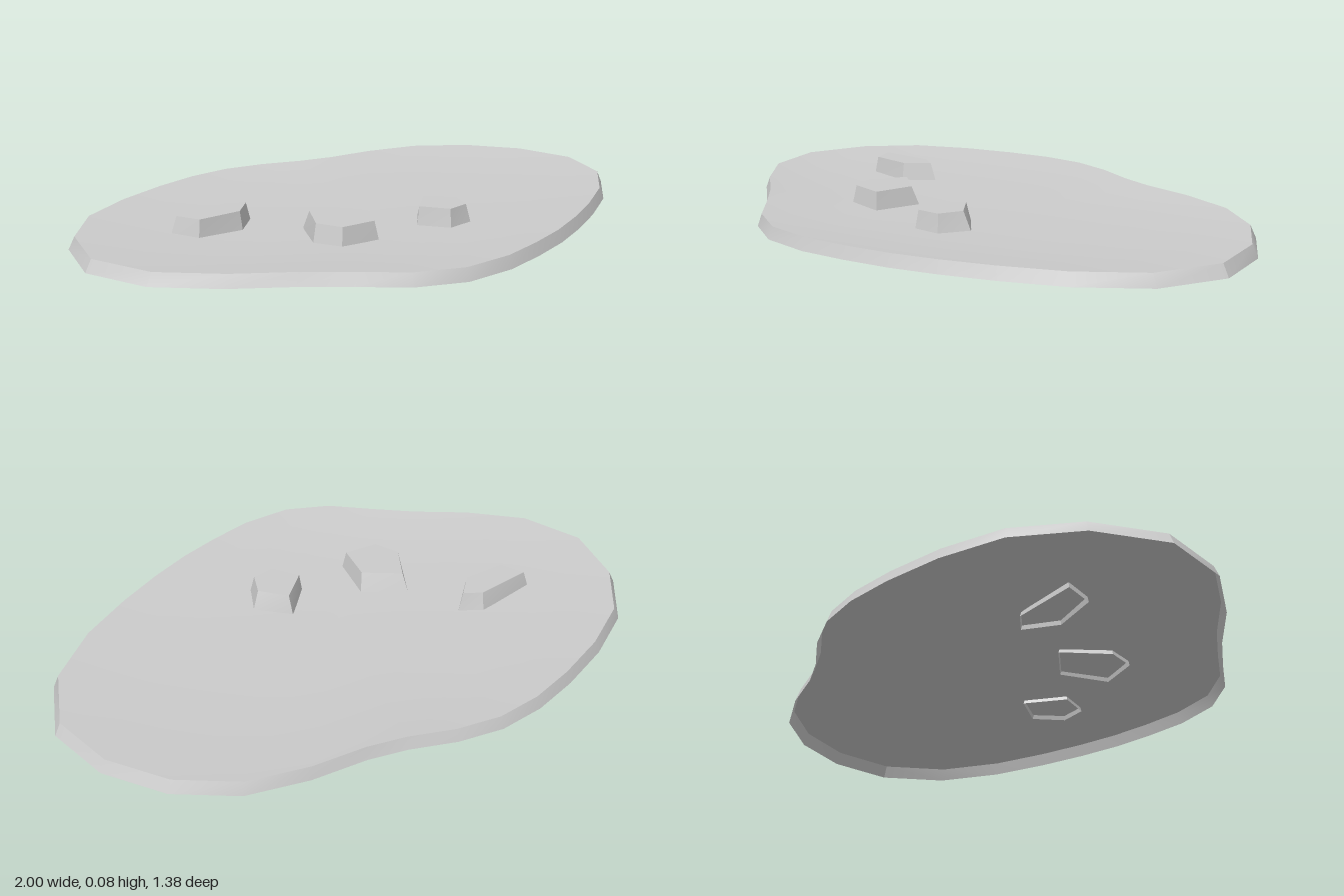
import * as THREE from 'three';
import { toCreasedNormals } from 'three/addons/utils/BufferGeometryUtils.js';

const SLAB_TOP = 0.04;
const DISH_BOTTOM = 0.015;
const STONE_BOTTOM = 0.004;
const STONE_TOP = 0.078;
const CREASE = 0.5;

const material = new THREE.MeshStandardMaterial({ color: 0xcccccc, side: THREE.DoubleSide });

// Outlines as [x, z], clockwise seen from above
const slabOutline = [
  [-1, 0.06], [-0.975, -0.175], [-0.865, -0.365], [-0.7, -0.495], [-0.53, -0.59],
  [-0.38, -0.655], [-0.23, -0.69], [-0.08, -0.685], [0.07, -0.655], [0.2, -0.645],
  [0.38, -0.655], [0.58, -0.635], [0.77, -0.54], [0.92, -0.38], [1, -0.17],
  [0.95, 0.055], [0.805, 0.235], [0.645, 0.365], [0.5, 0.465], [0.365, 0.545],
  [0.225, 0.61], [0.08, 0.665], [-0.09, 0.69], [-0.25, 0.648], [-0.385, 0.562],
  [-0.53, 0.475], [-0.71, 0.387], [-0.89, 0.26],
];
const stones = [
  {
    base: [[-0.675, -0.1], [-0.46, -0.165], [-0.38, -0.13], [-0.455, -0.03], [-0.615, -0.012]],
    top: [[-0.652, -0.095], [-0.465, -0.143], [-0.402, -0.12], [-0.46, -0.042], [-0.605, -0.022]],
  },
  {
    base: [[-0.28, 0.035], [-0.13, 0.105], [-0.135, 0.275], [-0.275, 0.285], [-0.33, 0.2]],
    top: [[-0.27, 0.068], [-0.145, 0.13], [-0.148, 0.265], [-0.265, 0.272], [-0.315, 0.195]],
  },
  {
    base: [[0.13, 0.08], [0.245, 0.16], [0.215, 0.27], [0.12, 0.292], [0.045, 0.205]],
    top: [[0.135, 0.105], [0.218, 0.175], [0.2, 0.258], [0.125, 0.28], [0.056, 0.205]],
  },
];

const scaled = (points, s) => points.map(([x, z]) => [x * s, z * s]);

// Skin over a series of rings, each { points, y }
function loft(rings) {
  const n = rings[0].points.length;
  const positions = rings.flatMap(({ points, y }) => points.flatMap(([x, z]) => [x, y, z]));
  const index = [];
  for (let r = 0; r < rings.length - 1; r++) {
    for (let i = 0; i < n; i++) {
      const a = r * n + i;
      const b = r * n + ((i + 1) % n);
      index.push(b, a, a + n, b, a + n, b + n);
    }
  }
  const geometry = new THREE.BufferGeometry();
  geometry.setAttribute('position', new THREE.Float32BufferAttribute(positions, 3));
  geometry.setIndex(index);
  geometry.computeVertexNormals();
  return geometry;
}

// Flat, upward-facing cap
function cap(points, y) {
  const shape = new THREE.Shape(points.map(([x, z]) => new THREE.Vector2(x, -z)));
  return new THREE.ShapeGeometry(shape).rotateX(-Math.PI / 2).translate(0, y, 0);
}

function addMesh(parent, name, geometry) {
  const mesh = new THREE.Mesh(geometry, material);
  mesh.name = name;
  parent.add(mesh);
}

export function createModel() {
  const model = new THREE.Group();
  model.name = 'groundPatch';

  // Thin slab, open underneath, its top gently dished
  const slab = new THREE.Group();
  slab.name = 'slab';
  const edge = scaled(slabOutline, 0.98);
  const rim = loft([{ points: slabOutline, y: 0 }, { points: edge, y: SLAB_TOP }]);
  addMesh(slab, 'slabRim', toCreasedNormals(rim, CREASE));
  const dish = [1, 0.85, 0.7, 0.5, 0.25, 0].map((r) => ({
    points: scaled(edge, r),
    y: DISH_BOTTOM + (SLAB_TOP - DISH_BOTTOM) * r ** 3,
  }));
  addMesh(slab, 'slabTop', loft(dish));
  model.add(slab);

  // Five-sided stones set through the slab, open underneath
  stones.forEach(({ base, top }, i) => {
    const stone = new THREE.Group();
    stone.name = `stone${i + 1}`;
    const sides = loft([{ points: base, y: STONE_BOTTOM }, { points: top, y: STONE_TOP }]);
    addMesh(stone, 'stoneSides', toCreasedNormals(sides, CREASE));
    addMesh(stone, 'stoneTop', cap(top, STONE_TOP));
    model.add(stone);
  });

  return model;
}
